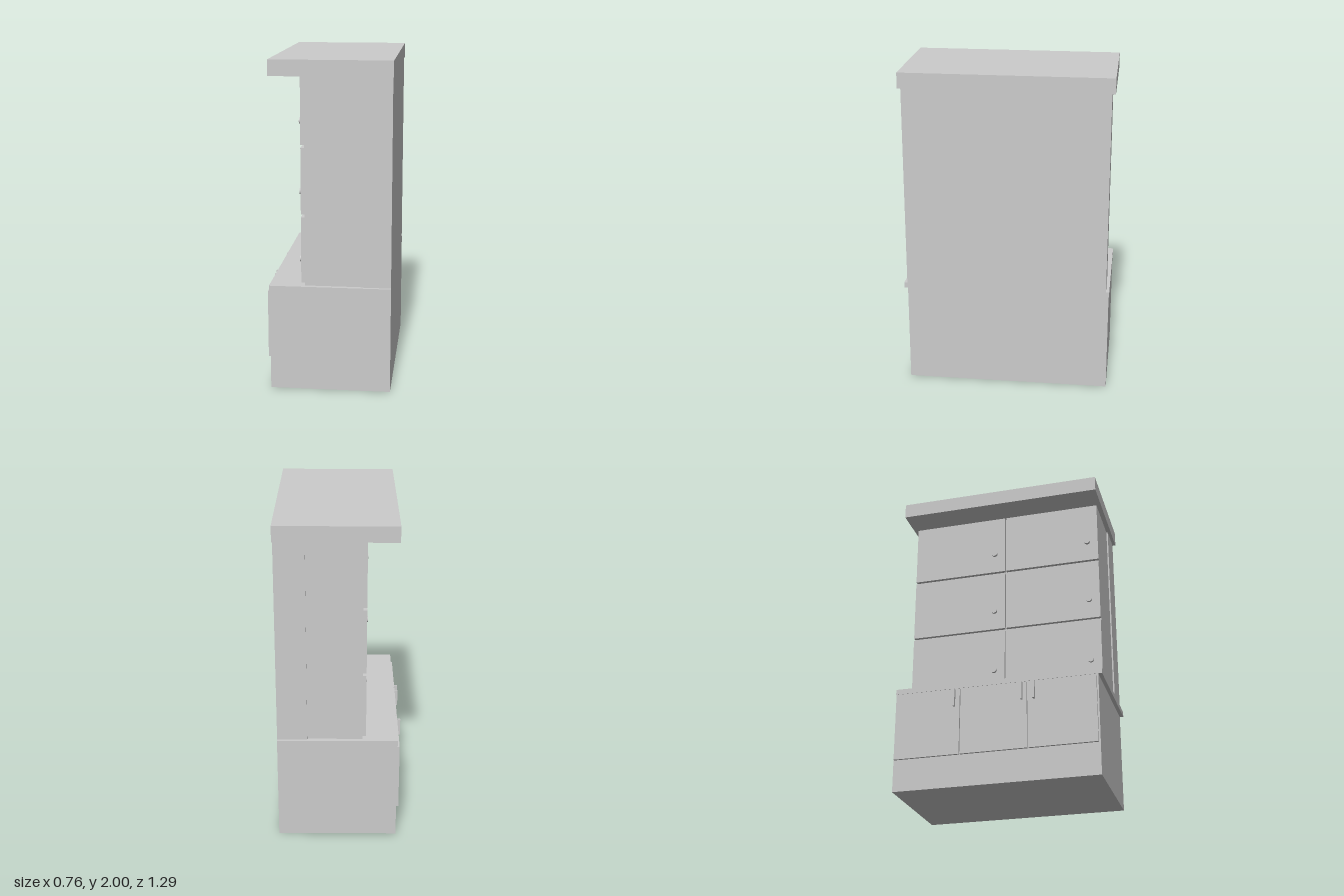
import * as THREE from 'three';

const material = new THREE.MeshStandardMaterial({ color: 0xcccccc });

// Box given by its minimum and maximum on each axis
function box(name, [x0, x1], [y0, y1], [z0, z1]) {
  const mesh = new THREE.Mesh(new THREE.BoxGeometry(x1 - x0, y1 - y0, z1 - z0), material);
  mesh.name = name;
  mesh.position.set((x0 + x1) / 2, (y0 + y1) / 2, (z0 + z1) / 2);
  return mesh;
}

// Base cabinet with three doors opening towards -x
function createBase() {
  const base = new THREE.Group();
  base.name = 'baseCabinet';
  base.add(box('baseBody', [-0.35, 0.377], [0, 0.622], [-0.64, 0.62]));
  const doors = [[-0.635, -0.228], [-0.221, 0.188], [0.196, 0.61]];
  const handles = [-0.262, 0.157, 0.232];
  doors.forEach((z, i) => {
    base.add(box('baseDoor', [-0.364, -0.35], [0.197, 0.612], z));
    base.add(box('barHandle', [-0.384, -0.364], [0.5, 0.61], [handles[i] - 0.006, handles[i] + 0.006]));
  });
  return base;
}

// Small round knob whose axis points along -x
function createKnob(y, z) {
  const knob = new THREE.Mesh(new THREE.CylinderGeometry(0.018, 0.018, 0.016, 16), material);
  knob.name = 'knob';
  knob.rotation.z = Math.PI / 2;
  knob.position.set(-0.167, y, z);
  return knob;
}

// Tall upper cabinet: slightly wider rear section, front carcass and six doors
function createUpper() {
  const upper = new THREE.Group();
  upper.name = 'upperCabinet';
  upper.add(box('rearSection', [0.195, 0.377], [0.655, 1.905], [-0.623, 0.623]));
  upper.add(box('carcass', [-0.138, 0.195], [0.655, 1.905], [-0.614, 0.614]));
  const rows = [[0.673, 1.073], [1.09, 1.488], [1.504, 1.904]];
  const knobHeights = [0.803, 1.218, 1.637];
  const columns = [[-0.614, -0.004], [0.004, 0.614]];
  rows.forEach((y, i) => {
    for (const z of columns) {
      upper.add(box('upperDoor', [-0.16, -0.138], y, z));
      upper.add(createKnob(knobHeights[i], z[1] - 0.069));
    }
  });
  return upper;
}

export function createModel() {
  const model = new THREE.Group();
  model.name = 'cabinet';
  model.add(createBase(), createUpper());
  model.add(box('countertop', [-0.352, 0.377], [0.622, 0.655], [-0.643, 0.643]));
  model.add(box('crown', [-0.343, 0.381], [1.905, 2], [-0.643, 0.643]));
  return model;
}
